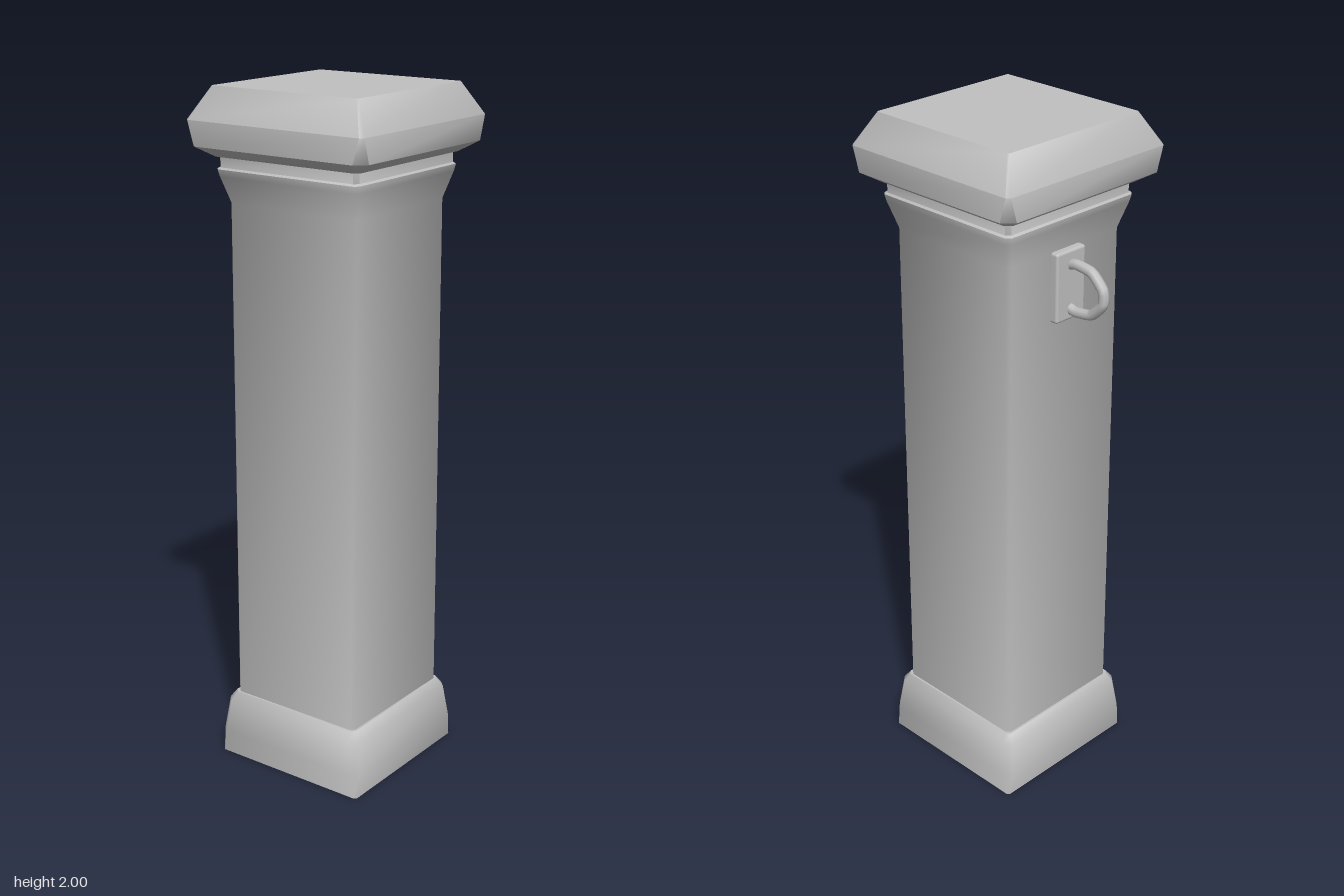
import * as THREE from 'three';
import { toCreasedNormals } from 'three/addons/utils/BufferGeometryUtils.js';
import { RoundedBoxGeometry } from 'three/addons/geometries/RoundedBoxGeometry.js';

// Stacks square rings with cut corners; each ring is [height, half width, corner cut]
function loftSquare(rings) {
  const pos = [], index = [];
  for (const [y, h, c] of rings) {
    const k = h - c;
    for (const [x, z] of [[h, -k], [h, k], [k, h], [-k, h], [-h, k], [-h, -k], [-k, -h], [k, -h]]) pos.push(x, y, z);
  }
  const last = (rings.length - 1) * 8;
  for (let r = 0; r < last; r += 8) {
    for (let i = 0; i < 8; i++) {
      const a = r + i, b = r + (i + 1) % 8;
      index.push(a, a + 8, b, b, a + 8, b + 8);
    }
  }
  // Closed ends
  for (let i = 1; i < 7; i++) {
    index.push(0, i, i + 1);
    index.push(last, last + i + 1, last + i);
  }
  const geo = new THREE.BufferGeometry();
  geo.setAttribute('position', new THREE.Float32BufferAttribute(pos, 3));
  geo.setIndex(index);
  return toCreasedNormals(geo, 0.9);
}

export function createModel() {
  const stone = new THREE.MeshStandardMaterial({ color: 0xc0c0c0 });
  stone.name = 'grey stone';

  const group = new THREE.Group();
  group.name = 'pillar';
  const pillar = new THREE.Group();
  pillar.name = 'turnedPillar';
  pillar.position.x = 0.004;
  pillar.rotation.y = 0.224;
  group.add(pillar);

  const add = (name, geo) => {
    const mesh = new THREE.Mesh(geo, stone);
    mesh.name = name;
    pillar.add(mesh);
    return mesh;
  };

  // Plinth with a sloped upper edge
  add('base', loftSquare([
    [0, 0.25, 0.008], [0.07, 0.253, 0.02], [0.17, 0.24, 0.02], [0.195, 0.222, 0.012],
  ]));

  // Shaft flaring into the neck
  add('shaft', loftSquare([
    [0.18, 0.216, 0.012], [1.68, 0.214, 0.012], [1.755, 0.236, 0.012], [1.775, 0.24, 0.012],
    [1.78, 0.234, 0.012], [1.83, 0.234, 0.012],
  ]));

  // Overhanging capstone
  add('capstone', loftSquare([
    [1.81, 0.245, 0.015], [1.84, 0.294, 0.03], [1.91, 0.295, 0.01], [2, 0.243, 0.004],
  ]));

  // Wall plate and hanging loop on one side
  add('ringPlate', new RoundedBoxGeometry(0.03, 0.2, 0.11, 2, 0.008)).position.set(-0.222, 1.58, 0);

  const half = [[-0.225, 0.06], [-0.255, 0.068], [-0.31, 0.06], [-0.35, 0.02]];
  const points = [...half, ...half.slice().reverse().map(([x, y]) => [x, -y])]
    .map(([x, y]) => new THREE.Vector3(x, 1.575 + y, 0));
  const path = new THREE.CatmullRomCurve3(points, false, 'catmullrom', 0.25);
  add('ring', new THREE.TubeGeometry(path, 28, 0.015, 8, false));

  return group;
}
